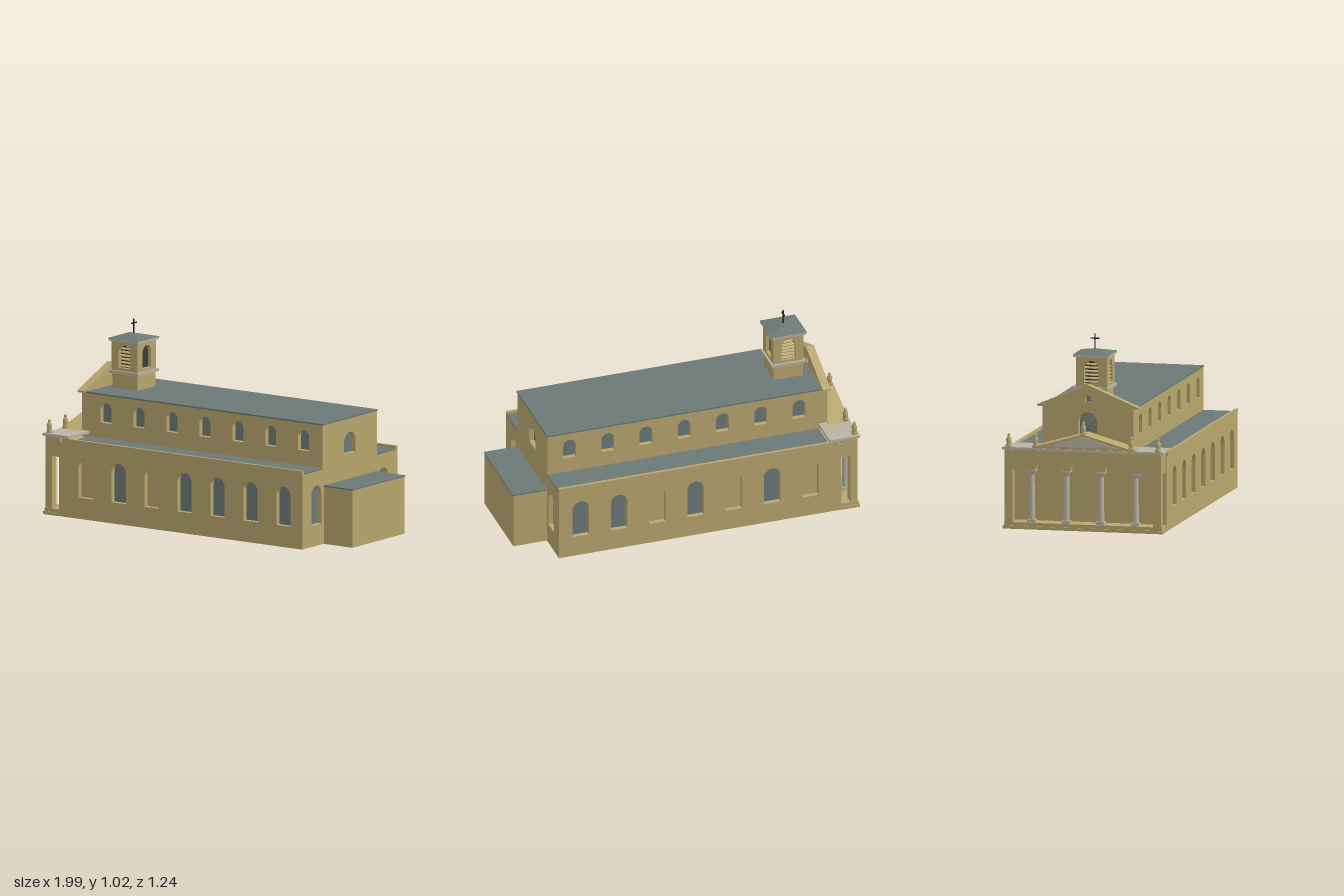
import * as THREE from 'three';

const mat = (name, color, side = THREE.FrontSide) => {
  const m = new THREE.MeshStandardMaterial({ color, side });
  m.name = name;
  return m;
};

export function createModel() {
  const sandstone = mat('sandstone', 0xb8a66e);
  const slate = mat('slate roof', 0x6c7975);
  const pale = mat('pale stone', 0xb8b4a4);
  const glass = mat('window glass', 0x6c7979);
  const dark = mat('belfry dark', 0x3a3a3a);
  const iron = mat('iron', 0x1e1e1e);

  // The building's long axis runs along x, its entrance faces -x
  const church = new THREE.Group();
  church.name = 'church';
  church.position.z = -0.018;

  const add = (name, geo, m, parent = church, x = 0, y = 0, z = 0) => {
    const mesh = new THREE.Mesh(geo, m);
    mesh.name = name;
    mesh.position.set(x, y, z);
    parent.add(mesh);
    return mesh;
  };
  // Box given by its limits on each axis
  const box = (name, m, x0, x1, y0, y1, z0, z1, parent = church) =>
    add(name, new THREE.BoxGeometry(x1 - x0, y1 - y0, z1 - z0), m, parent,
      (x0 + x1) / 2, (y0 + y1) / 2, (z0 + z1) / 2);
  const extrude = (shape, depth) =>
    new THREE.ExtrudeGeometry(shape, { depth, bevelEnabled: false, curveSegments: 10 });
  const poly = (pts) => new THREE.Shape(pts.map(([x, y]) => new THREE.Vector2(x, y)));
  const arch = (x, y0, y1, w, Type = THREE.Shape) => {
    const s = new Type(), r = w / 2;
    s.moveTo(x - r, y0);
    s.lineTo(x + r, y0);
    s.lineTo(x + r, y1 - r);
    s.absarc(x, y1 - r, r, 0, Math.PI, false);
    s.lineTo(x - r, y0);
    return s;
  };
  const facing = (name, x, z, turn, parent = church) => {
    const g = new THREE.Group();
    g.name = name;
    g.position.set(x, 0, z);
    g.rotation.y = turn;
    parent.add(g);
    return g;
  };

  // Wall with recessed arched windows, facing +z before turning
  const T = 0.03;
  const wall = (name, outline, windows, x, z, turn, parent = church) => {
    const g = facing(name, x, z, turn, parent);
    const shape = poly(outline);
    windows.forEach((w) => {
      shape.holes.push(arch(w.x, w.y0, w.y1, w.w, THREE.Path));
      add('windowPane', new THREE.ShapeGeometry(arch(w.x, w.y0, w.y1, w.w), 10), w.m, g, 0, 0, 0.002);
    });
    add('wallFace', extrude(shape, T), sandstone, g);
    return g;
  };
  const rect = (x0, x1, y0, y1) => [[x0, y0], [x1, y0], [x1, y1], [x0, y1]];

  // Aisles and nave
  const E = 0.777, W = -0.815, AH = 0.437, NH = 0.25, NW = -0.8;
  box('aisleCore', sandstone, W, E - T, 0, 0.405, -AH + T, AH - T);
  box('naveCore', sandstone, NW + T, E - T, 0.405, 0.645, -NH + T, NH - T);
  const bays = [0, 1, 2, 3, 4, 5, 6].map((i) => -0.641 + i * 0.2157);
  for (const side of [1, -1]) {
    const blind = side > 0 ? [0, 2] : [0, 2, 4];
    const turn = side > 0 ? 0 : Math.PI;
    const span = (x0, x1, y0, y1) => (side > 0 ? rect(x0, x1, y0, y1) : rect(-x1, -x0, y0, y1));
    wall('aisleWall', span(W, E, 0, 0.405), bays.map((x, i) => ({
      x: x * side, y0: 0.115, y1: 0.328, w: 0.093, m: blind.includes(i) ? sandstone : glass,
    })), 0, side * (AH - T), turn);
    wall('naveWall', span(NW, E, 0.405, 0.645), bays.map((x) => ({
      x: x * side, y0: 0.495, y1: 0.605, w: 0.072, m: glass,
    })), 0, side * (NH - T), turn);
    const lim = (a, b) => (side > 0 ? [a, b] : [-b, -a]);
    box('aisleRoof', slate, -0.75, E, 0.405, 0.412, ...lim(NH, AH - 0.014));
    box('aisleParapet', sandstone, -0.8, E, 0.405, 0.426, ...lim(AH - 0.014, AH + 0.002));
  }
  wall('aisleEastWall', rect(-AH + T, AH - T, 0, 0.405), [-0.307, 0.307].map((x) => ({
    x, y0: 0.115, y1: 0.328, w: 0.09, m: glass,
  })), E - T, 0, Math.PI / 2);
  wall('naveEastWall', rect(-NH + T, NH - T, 0.405, 0.645),
    [{ x: 0, y0: 0.455, y1: 0.57, w: 0.108, m: glass }], E - T, 0, Math.PI / 2);
  box('naveRoof', slate, -0.77, E + 0.003, 0.645, 0.653, -NH - 0.003, NH + 0.003);

  // Low block at the east end
  box('chancel', sandstone, E, 0.966, 0, 0.311, -0.239, 0.239);
  box('chancelRoof', slate, E, 0.969, 0.311, 0.318, -0.241, 0.241);

  // Gabled west front
  wall('westGable', [[-NH, 0.405], [NH, 0.405], [NH, 0.65], [0.272, 0.65], [0.272, 0.658],
    [0, 0.772], [-0.272, 0.658], [-0.272, 0.65], [-NH, 0.65]],
  [{ x: 0, y0: 0.5, y1: 0.625, w: 0.1, m: glass }, { x: 0, y0: 0.68, y1: 0.715, w: 0.03, m: glass }],
  NW + T, 0, -Math.PI / 2);
  for (const side of [1, -1]) {
    const coping = extrude(poly([[0, 0.764], [side * 0.278, 0.65], [side * 0.278, 0.659], [0, 0.775]]), 0.045);
    add('gableCoping', coping, sandstone, facing('copingHolder', -0.765, 0, -Math.PI / 2));
  }
  box('gableBacking', sandstone, -0.772, -0.768, 0.42, 0.66, -0.24, 0.24);

  // Entrance porch: steps, columns, arcade, slab and pediment
  box('lowerStep', sandstone, -0.92, W, 0, 0.016, -0.44, 0.44);
  box('upperStep', sandstone, -0.914, W, 0.016, 0.035, -0.434, 0.434);
  const arcade = new THREE.Shape();
  arcade.moveTo(-0.43, 0.425);
  arcade.lineTo(-0.43, 0.32);
  for (const c of [-0.19, 0, 0.19]) {
    arcade.lineTo(c - 0.07, 0.32);
    arcade.absarc(c, 0.32, 0.07, Math.PI, 0, true);
  }
  arcade.lineTo(0.43, 0.32);
  arcade.lineTo(0.43, 0.425);
  add('arcade', extrude(arcade, 0.045), sandstone, facing('arcadeHolder', -0.865, 0, -Math.PI / 2));
  const shaft = new THREE.CylinderGeometry(0.014, 0.017, 0.25, 16);
  const capital = new THREE.CylinderGeometry(0.024, 0.014, 0.02, 16);
  for (const z of [-0.285, -0.095, 0.095, 0.285]) {
    add('columnShaft', shaft, pale, church, -0.888, 0.175, z);
    add('columnCapital', capital, pale, church, -0.888, 0.302, z);
    box('columnAbacus', pale, -0.912, -0.864, 0.312, 0.322, z - 0.025, z + 0.025);
    box('columnBase', pale, -0.91, -0.866, 0.035, 0.052, z - 0.022, z + 0.022);
  }
  for (const side of [1, -1]) {
    const z = side * 0.408;
    box('cornerPier', sandstone, -0.91, -0.868, 0.035, 0.32, z - 0.022, z + 0.022);
    box('sideBeam', sandstone, -0.865, W, 0.32, 0.425, z - 0.022, z + 0.022);
  }
  box('porchCeiling', sandstone, -0.905, W, 0.41, 0.425, -0.43, 0.43);
  box('porchSlab', pale, -0.92, -0.75, 0.427, 0.441, -0.441, 0.441);
  add('pediment', extrude(poly([[-0.285, 0.441], [0.285, 0.441], [0, 0.522]]), 0.12), sandstone,
    facing('pedimentHolder', -0.797, 0, -Math.PI / 2));
  add('pedimentPanel', extrude(poly([[-0.2, 0.452], [0.2, 0.452], [0, 0.508]]), 0.005), pale,
    facing('panelHolder', -0.917, 0, -Math.PI / 2));

  // Statues along the porch
  const figure = new THREE.LatheGeometry([[0, 0], [0.017, 0], [0.017, 0.012], [0.012, 0.014], [0.014, 0.03],
    [0.015, 0.048], [0.006, 0.056], [0.009, 0.064], [0.007, 0.072], [0, 0.075]]
    .map(([x, y]) => new THREE.Vector2(x, y)), 12);
  for (const [z, y] of [[-0.41, 0.438], [-0.262, 0.442], [0, 0.515], [0.262, 0.442], [0.41, 0.438]]) {
    add('statue', figure, sandstone, church, -0.898, y, z);
  }

  // Bell tower
  const tower = new THREE.Group();
  tower.name = 'bellTower';
  tower.position.x = -0.637;
  church.add(tower);
  const block = (name, m, h, y0, y1) => box(name, m, -h, h, y0, y1, -h, h, tower);
  block('towerBase', sandstone, 0.082, 0.65, 0.735);
  block('lowerCornice', pale, 0.096, 0.735, 0.751);
  block('belfryCore', dark, 0.064, 0.751, 0.91);
  block('upperCornice', pale, 0.097, 0.91, 0.924);
  for (let i = 0; i < 4; i++) {
    const turn = (i * Math.PI) / 2, d = 0.085 - T;
    const ext = i % 2 ? 0.055 : 0.085;
    const g = wall('belfryWall', rect(-ext, ext, 0.751, 0.91),
      [{ x: 0, y0: 0.766, y1: 0.89, w: 0.078, m: dark }], d * Math.sin(turn), d * Math.cos(turn), turn, tower);
    // Louvres, left off the side above the nave roof
    for (let k = 0; k < 6 && i !== 1; k++) {
      const w = k === 5 ? 0.056 : 0.076;
      const slat = add('louvre', new THREE.BoxGeometry(w, 0.004, 0.016), sandstone, g, 0, 0.777 + k * 0.019, 0.017);
      slat.rotation.x = 0.5;
    }
  }
  const cap = add('towerRoof', new THREE.ConeGeometry(0.1 * Math.SQRT2, 0.023, 4, 1).toNonIndexed(), slate, tower, 0, 0.9355, 0);
  cap.geometry.computeVertexNormals();
  cap.rotation.y = Math.PI / 4;
  box('crossPost', iron, -0.003, 0.003, 0.94, 1.025, -0.003, 0.003, tower);
  box('crossArm', iron, -0.003, 0.003, 0.998, 1.004, -0.023, 0.023, tower);

  // The whole building stands at a slight angle
  const turned = new THREE.Group();
  turned.name = 'building';
  turned.rotation.y = THREE.MathUtils.degToRad(13);
  turned.add(church);
  const model = new THREE.Group();
  model.name = 'model';
  model.add(turned);
  return model;
}
